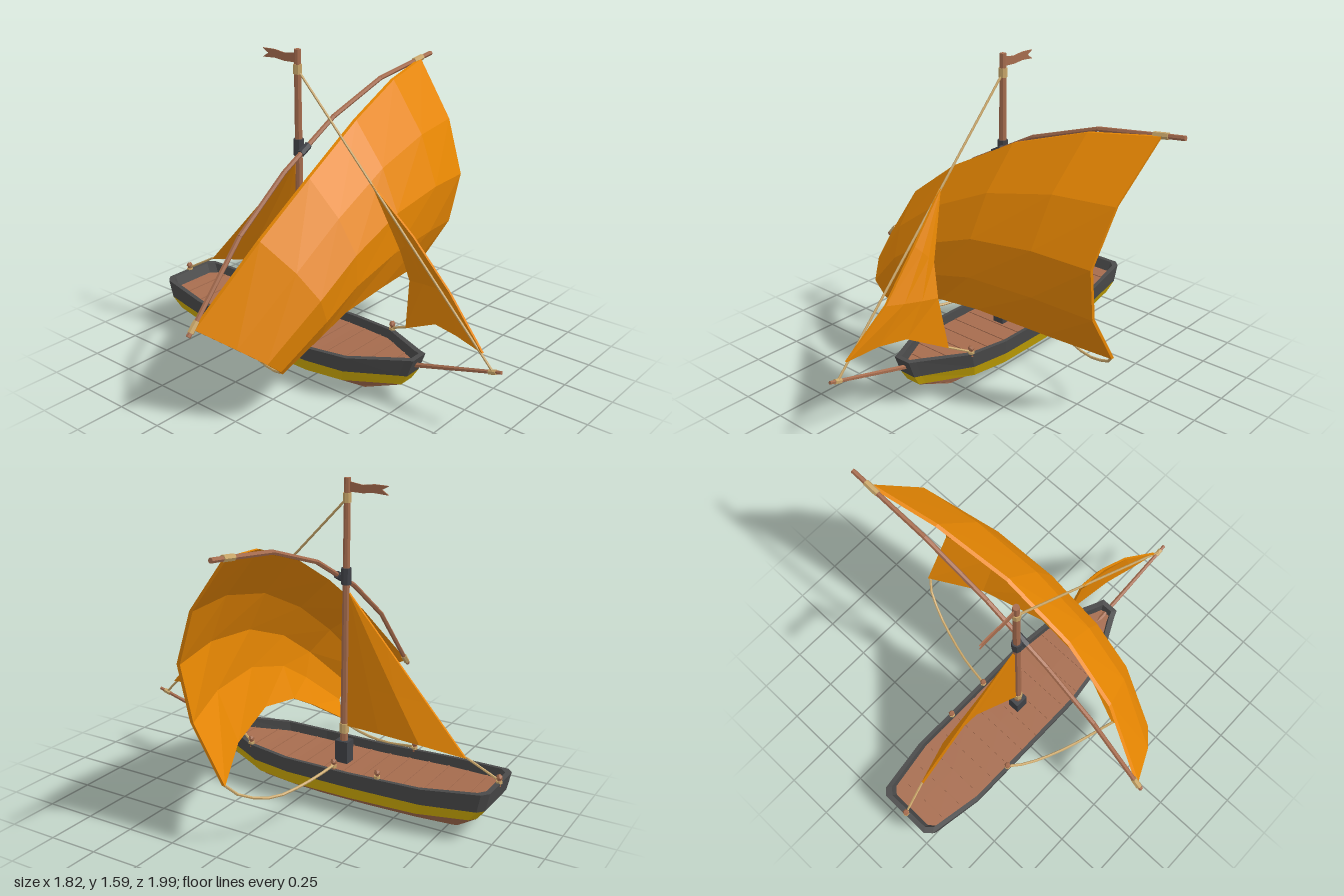
import * as THREE from 'three';

const paint = (name, hex) => {
  const m = new THREE.MeshStandardMaterial({ color: hex, side: THREE.DoubleSide });
  m.name = name;
  return m;
};
const V = (x, y, z) => new THREE.Vector3(x, y, z);
const CX = -0.113; // centreline of the hull
const MZ = -0.16; // mast position

export function createModel() {
  const model = new THREE.Group();
  model.name = 'sailingBoat';
  const sail = paint('sail orange', 0xe68602), grey = paint('tarred grey', 0x4a4a4a);
  const yellow = paint('stripe yellow', 0xd0ac04), wood = paint('warm wood', 0xa66c4e);
  const iron = paint('fitting grey', 0x404247), rope = paint('rope tan', 0xcaa76a);

  // Faceted mesh
  const add = (name, geo, mat) => {
    const g = geo.index ? geo.toNonIndexed() : geo;
    g.computeVertexNormals();
    const mesh = new THREE.Mesh(g, mat);
    mesh.name = name;
    model.add(mesh);
    return mesh;
  };
  // Skin over rows of points
  const loft = (rows, closed) => {
    const pos = [];
    const put = (...ps) => ps.forEach((p) => pos.push(p.x, p.y, p.z));
    for (let i = 0; i < rows.length - 1; i++) {
      const a = rows[i], b = rows[i + 1], n = a.length;
      for (let j = 0; j < (closed ? n : n - 1); j++) {
        const k = (j + 1) % n;
        put(a[j], b[j], a[k], a[k], b[j], b[k]);
      }
    }
    return new THREE.BufferGeometry().setAttribute('position', new THREE.Float32BufferAttribute(pos, 3));
  };
  // Cloth of small thickness
  const cloth = (name, rows, off) => {
    const shift = (r) => r.map((p) => p.clone().add(off));
    add(name, loft(rows.map((r) => [...r, ...shift(r).reverse()]), true), sail);
    [rows[0], rows[rows.length - 1]].forEach((r) => add(name + 'Hem', loft([r, shift(r)], false), sail));
  };
  // Straight round bar between two points
  const bar = (name, a, b, r0, r1, mat, sides = 6) => {
    const d = b.clone().sub(a);
    const mesh = add(name, new THREE.CylinderGeometry(r1, r0, d.length(), sides), mat);
    mesh.position.copy(a).add(b).multiplyScalar(0.5);
    mesh.quaternion.setFromUnitVectors(V(0, 1, 0), d.normalize());
    return mesh;
  };
  const slackRope = (name, pts) =>
    add(name, new THREE.TubeGeometry(new THREE.CatmullRomCurve3(pts), 8, 0.007, 6), rope);

  // Hull: stations of z, half width, sheer
  const stations = [[-0.985, 0.135, 1], [-0.955, 0.168, 0.95], [-0.68, 0.213, 0.4], [-0.3, 0.213, 0.05],
    [0.06, 0.213, 0.05], [0.28, 0.187, 0.35], [0.53, 0.062, 0.9], [0.565, 0.048, 1]];
  const ring = (z0, z1, widthOf, y, rise) => {
    const side = (s) => stations.map(([z, h, k]) =>
      V(CX + s * widthOf(h), y + rise * k, THREE.MathUtils.mapLinear(z, -0.985, 0.565, z0, z1)));
    return [...side(1), ...side(-1).reverse()];
  };
  const rim = ring(-0.985, 0.565, (h) => h, 0.22, 0.04);
  const greyLow = ring(-0.965, 0.53, (h) => h * 0.96, 0.145, 0.022);
  const yellowLow = ring(-0.92, 0.495, (h) => h * 0.86, 0.08, 0.03);
  const keel = ring(-0.8, 0.28, (h) => 0.035 + h * 0.1, 0, 0.015);
  const keelLine = ring(-0.8, 0.28, () => 0, 0, 0.015);
  const rimIn = ring(-0.96, 0.54, (h) => h - 0.019, 0.22, 0.04);
  const deckEdge = ring(-0.94, 0.53, (h) => h - 0.022, 0.175, 0.035);
  const deckLine = ring(-0.94, 0.53, () => 0, 0.175, 0.035);
  add('bulwark', loft([deckEdge, rimIn, rim, greyLow], true), grey);
  add('hullStripe', loft([greyLow, yellowLow], true), yellow);
  add('hullBottom', loft([yellowLow, keel, keelLine], true), wood);
  add('deck', loft([deckEdge, deckLine], true), wood);

  // Plank seams
  for (let z = -0.86; z < 0.48; z += 0.107) {
    const i = Math.max(1, deckEdge.findIndex((p) => p.z > z));
    const a = deckEdge[i - 1], b = deckEdge[i];
    const p = a.clone().lerp(b, (z - a.z) / (b.z - a.z));
    add('plankSeam', new THREE.BoxGeometry(2 * (p.x - CX), 0.006, 0.005), wood).position.set(CX, p.y + 0.001, z);
  }

  // Mast with step, collar and lashings
  const mastBar = (name, y0, y1, r, mat) => bar(name, V(CX, y0, MZ), V(CX, y1, MZ), r, r, mat, 8);
  bar('mast', V(CX, 0.17, MZ), V(CX, 1.59, MZ), 0.021, 0.016, wood, 8);
  add('mastStep', new THREE.BoxGeometry(0.062, 0.12, 0.07), iron).position.set(CX, 0.23, MZ);
  mastBar('mastCollar', 1.085, 1.165, 0.025, iron);
  mastBar('lowerLashing', 0.33, 0.38, 0.024, rope);
  mastBar('upperLashing', 1.475, 1.52, 0.021, rope);

  // Yard of straight lengths
  const yard = [[-0.9, 0.455], [-0.87, 0.483], [-0.56, 0.822], [-0.26, 1.042], [0.1, 1.232], [0.47, 1.35], [0.8, 1.39], [0.91, 1.402]]
    .map(([x, y]) => V(x, y, -0.125 - 0.008 * x));
  yard.slice(1).forEach((p, i) => bar('yard', yard[i], p, 0.012, 0.012, wood));
  bar('yardLashing', V(-0.885, 0.468, -0.118), V(-0.845, 0.511, -0.118), 0.016, 0.016, rope);
  bar('yardLashing', V(0.755, 1.385, -0.131), V(0.83, 1.394, -0.131), 0.016, 0.016, rope);
  bar('yardSling', V(-0.14, 1.105, -0.124), V(-0.085, 1.134, -0.124), 0.019, 0.019, iron);

  // Main sail: head point, foot point, belly, side curve
  const columns = [
    [V(-0.87, 0.48, -0.105), V(-0.55, 0.2, 0.115), 0.17, 0], [V(-0.56, 0.83, 0.005), V(-0.35, 0.33, 0.175), 0.175, 0],
    [V(-0.26, 1.05, 0.035), V(-0.2, 0.41, 0.205), 0.165, 0], [V(0.1, 1.24, 0.015), V(0.05, 0.445, 0.215), 0.17, 0],
    [V(0.47, 1.355, -0.045), V(0.4, 0.4, 0.135), 0.22, -0.02], [V(0.8, 1.39, -0.115), V(0.69, 0.325, 0.005), 0.275, -0.04]];
  const mainRows = [0, 0.25, 0.5, 0.75, 1].map((t) => columns.map(([a, b, belly, curve]) => {
    const s = Math.sin(Math.PI * t);
    return a.clone().lerp(b, t).add(V(curve * s, 0, belly * s));
  }));
  cloth('mainSail', mainRows, V(0, 0, -0.018));

  // Fore sail, its luff bowed to the left
  const head = V(CX + 0.005, 1.04, 0.28);
  const across = (a, b) => [0, 1 / 3, 2 / 3, 1].map((u) => a.clone().lerp(b, u).add(V(0.008 * Math.sin(Math.PI * u), 0, 0)));
  cloth('foreSail', [
    [head, head, head, head],
    across(V(-0.075, 0.83, 0.49), V(-0.045, 0.73, 0.4)),
    across(V(-0.065, 0.61, 0.69), V(0, 0.57, 0.425)),
    [V(CX + 0.005, 0.4, 0.9), V(-0.075, 0.42, 0.74), V(-0.035, 0.415, 0.6), V(0.027, 0.3, 0.39)],
  ], V(-0.012, 0, 0));

  // Aft sail
  const aftRows = [0, 0.33, 0.67, 1].map((t) => [0, 0.33, 0.67, 1].map((u) => {
    const s = Math.sin(Math.PI * u) * t;
    return V(CX + 0.006 + 0.03 * u * t + 0.075 * s, 1.045 - 0.675 * t - 0.015 * u * t + 0.04 * s * t, -0.18 - 0.64 * u * t);
  }));
  cloth('aftSail', aftRows, V(-0.012, 0, 0));

  // Bowsprit and forestay
  bar('bowsprit', V(CX, 0.19, 0.46), V(CX, 0.338, 0.997), 0.013, 0.009, wood);
  bar('bowspritLashing', V(CX, 0.32, 0.935), V(CX, 0.331, 0.97), 0.013, 0.013, rope);
  bar('forestay', V(CX, 1.495, MZ), V(CX, 0.33, 0.95), 0.006, 0.006, rope);

  // Cleats on the rim
  [[0.085, 0.235, -0.215], [-0.315, 0.235, -0.45], [0.065, 0.24, 0.275], [0.085, 0.235, -0.45], [CX, 0.26, -0.975]]
    .forEach(([x, y, z]) => {
      bar('cleatPost', V(x, y - 0.02, z), V(x, y + 0.015, z), 0.01, 0.01, wood);
      add('cleatKnob', new THREE.IcosahedronGeometry(0.017, 0), wood).position.set(x, y + 0.025, z);
      bar('cleatRope', V(x, y - 0.004, z), V(x, y + 0.008, z), 0.016, 0.016, rope);
    });

  // Sheets
  slackRope('mainSheetLeft', [V(0.685, 0.33, 0), V(0.66, 0.29, -0.03), V(0.54, 0.225, -0.09), V(0.43, 0.203, -0.13),
    V(0.25, 0.22, -0.185), V(0.085, 0.242, -0.215)]);
  slackRope('mainSheetRight', [V(-0.55, 0.205, 0.105), V(-0.525, 0.18, 0.04), V(-0.48, 0.165, -0.1), V(-0.425, 0.178, -0.25),
    V(-0.365, 0.215, -0.38), V(-0.315, 0.242, -0.45)]);
  bar('foreSheet', V(0.022, 0.303, 0.39), V(0.065, 0.245, 0.275), 0.006, 0.006, rope);
  bar('aftSheet', V(-0.082, 0.36, -0.82), V(CX, 0.27, -0.975), 0.006, 0.006, rope);

  // Swallow-tailed pennant
  const flag = new THREE.Shape([[0.015, 1.572], [0.08, 1.562], [0.14, 1.57], [0.215, 1.568], [0.18, 1.548], [0.215, 1.525],
    [0.14, 1.53], [0.08, 1.524], [0.015, 1.526]].map(([x, y]) => new THREE.Vector2(x, y)));
  const pennant = add('pennant', new THREE.ExtrudeGeometry(flag, { depth: 0.006, bevelEnabled: false }), wood);
  pennant.rotation.y = Math.PI / 2;
  pennant.position.set(CX - 0.003, 0, MZ);
  return model;
}
